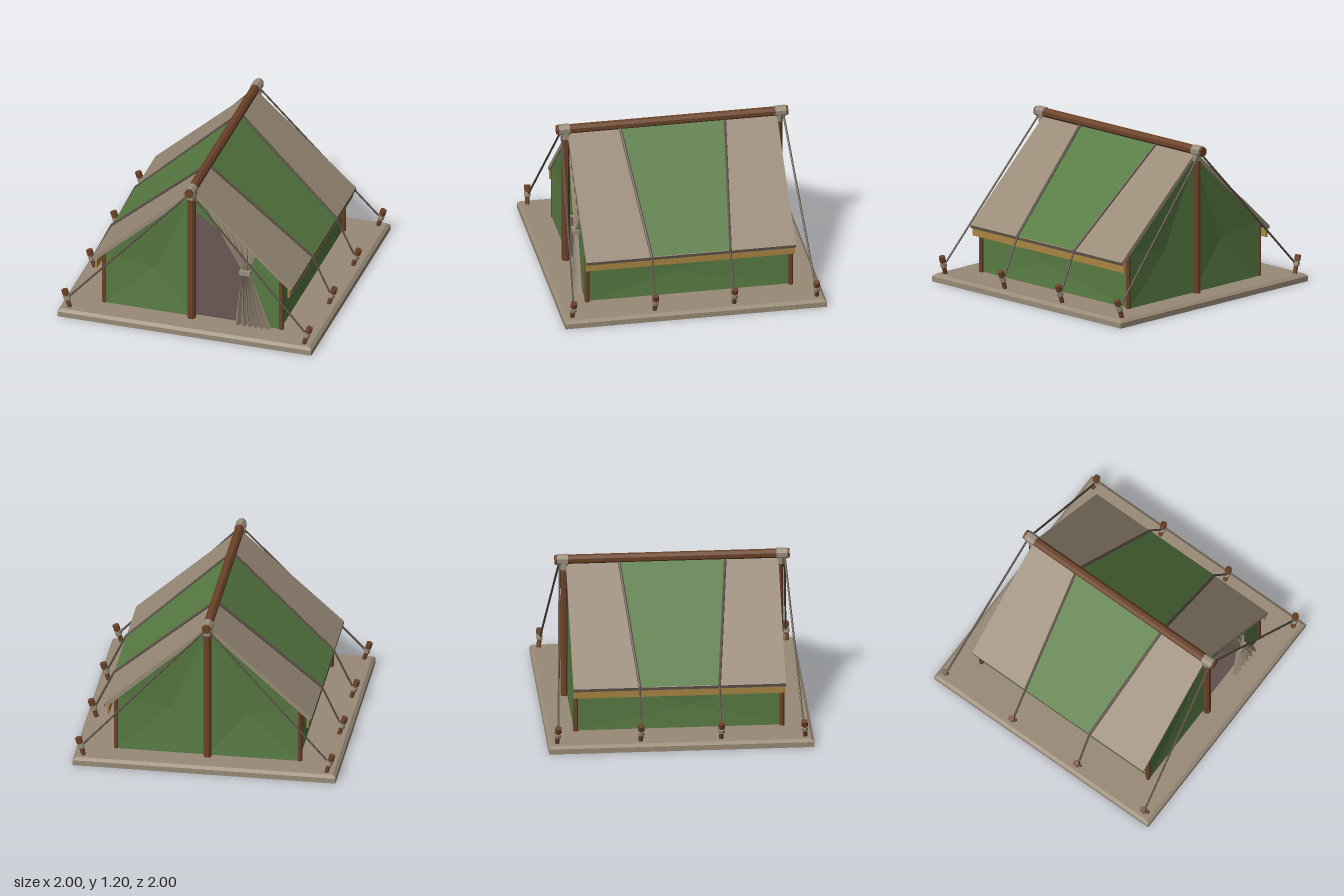
import * as THREE from 'three';

const mat = (name, color, side = THREE.FrontSide) =>
  Object.assign(new THREE.MeshStandardMaterial({ color, side }), { name });
const V = (x, y, z) => new THREE.Vector3(x, y, z);

export function createModel() {
  const model = new THREE.Group();
  model.name = 'tent';
  const tan = mat('tan canvas', 0x998a77, THREE.DoubleSide);
  const green = mat('green canvas', 0x587b43, THREE.DoubleSide);
  const wood = mat('brown wood', 0x6b4228);
  const gold = mat('gold valance', 0xa98643);
  const rope = mat('dark rope', 0x5a5046);
  const lash = mat('pale lashing', 0x9a8e7e);
  const rug = mat('dark floor cloth', 0x5e4f4c);

  // Adds a mesh with faceted normals
  function add(name, geometry, material) {
    const geo = geometry.index ? geometry.toNonIndexed() : geometry;
    geo.computeVertexNormals();
    const mesh = new THREE.Mesh(geo, material);
    mesh.name = name;
    model.add(mesh);
    return mesh;
  }
  // Straight rod between two points
  function rod(name, a, b, r, sides, material) {
    const geo = new THREE.CylinderGeometry(r, r, a.distanceTo(b), sides);
    geo.rotateY(Math.PI / sides);
    const mesh = add(name, geo, material);
    mesh.position.copy(a).add(b).multiplyScalar(0.5);
    mesh.quaternion.setFromUnitVectors(V(0, 1, 0), b.clone().sub(a).normalize());
    return mesh;
  }
  function box(name, w, h, d, x, y, z, material) {
    return add(name, new THREE.BoxGeometry(w, h, d).translate(x, y, z), material);
  }
  // Panel fanned around one slightly sagging centre point
  function fan(name, centre, points, material) {
    const tris = [];
    points.forEach((p, i) => tris.push(centre, p, points[(i + 1) % points.length]));
    return add(name, new THREE.BufferGeometry().setFromPoints(tris), material);
  }
  function quad(name, a, b, c, d, material) {
    return add(name, new THREE.BufferGeometry().setFromPoints([a, b, c, a, c, d]), material);
  }

  // Platform with a chamfered top edge
  box('platform', 2, 0.04, 2, 0, 0.02, 0, tan);
  const q = Math.SQRT2;
  add('platformTop', new THREE.CylinderGeometry(0.977 * q, q, 0.02, 4)
    .rotateY(Math.PI / 4).translate(0, 0.05, 0), tan);
  box('floorCloth', 1.3, 0.006, 1.52, 0, 0.063, 0, rug);

  // Roof slab, one chevron section run from front to back
  const section = new THREE.Shape([
    [0, 1.15], [0.79, 0.435], [0.77, 0.41], [0, 1.11], [-0.77, 0.41], [-0.79, 0.435],
  ].map(([x, y]) => new THREE.Vector2(x, y)));
  add('roof', new THREE.ExtrudeGeometry(section, { depth: 1.6, bevelEnabled: false })
    .translate(0, 0, -0.8), tan);

  for (const s of [1, -1]) {
    // Green roof panel, its lining and edge ropes
    quad('roofPanel', V(0, 1.155, 0.4), V(s * 0.79, 0.44, 0.3),
      V(s * 0.79, 0.44, -0.3), V(0, 1.155, -0.4), green);
    quad('roofLining', V(0, 1.106, 0.79), V(s * 0.765, 0.41, 0.79),
      V(s * 0.765, 0.41, -0.79), V(0, 1.106, -0.79), green);
    box('eaveTrim', 0.008, 0.022, 1.6, s * 0.784, 0.423, 0, rope);
    box('valance', 0.015, 0.065, 1.6, s * 0.758, 0.383, 0, gold);

    // Side wall
    fan('sideWall', V(s * 0.675, 0.24, 0.1), [V(s * 0.69, 0.06, 0.78),
      V(s * 0.69, 0.06, -0.78), V(s * 0.69, 0.48, -0.78), V(s * 0.69, 0.48, 0.78)], green);

    for (const f of [1, -1]) {
      rod('cornerPost', V(s * 0.697, 0.06, f * 0.778), V(s * 0.697, 0.485, f * 0.778), 0.019, 8, wood);
      rod('roofRope', V(s * 0.02, 1.145, f * 0.4), V(s * 0.793, 0.44, f * 0.3), 0.011, 6, rope);
      rod('sideRope', V(s * 0.793, 0.44, f * 0.3), V(s * 0.935, 0.14, f * 0.303), 0.008, 6, rope);
      rod('endRope', V(s * 0.02, 1.13, f * 0.85), V(s * 0.935, 0.14, f * 0.925), 0.008, 6, rope);
      // Leaning stakes with a lashing and a thicker head
      for (const z of [0.303, 0.935]) {
        const at = (t) => V(s * (0.922 + 0.045 * t), 0.06 + 0.14 * t, f * (z - (z > 0.5 ? 0.008 * t : 0)));
        rod('stake', at(0), at(0.95), 0.018, 8, wood);
        rod('stakeHead', at(0.7), at(1), 0.025, 8, wood);
        rod('stakeLashing', at(0.42), at(0.64), 0.026, 8, lash);
      }
    }

    // Gable halves: two at the back, one solid at the front
    for (const f of s > 0 ? [-1] : [1, -1]) {
      fan('gableWall', V(s * 0.3, 0.42, f * 0.765), [V(0, 0.06, f * 0.79),
        V(s * 0.69, 0.06, f * 0.79), V(s * 0.69, 0.49, f * 0.79), V(0, 1.12, f * 0.79)], green);
    }
  }

  // Front gable half with the door opening
  const doorWall = new THREE.Shape([
    [0, 1.12], [0, 0.98], [0.14, 1.0], [0.43, 0.52], [0.42, 0.06], [0.69, 0.06], [0.69, 0.49],
  ].map(([x, y]) => new THREE.Vector2(x, y)));
  add('doorWall', new THREE.ShapeGeometry(doorWall).translate(0, 0, 0.785), green);

  // Pleated door curtain gathered at the waist: [x, y] of both ends, pleat depth
  const rows = [
    [[0.1, 1.035], [0.5, 0.665], 0.012],
    [[0.395, 0.54], [0.455, 0.54], 0.025],
    [[0.395, 0.51], [0.455, 0.51], 0.025],
    [[0.34, 0.062], [0.62, 0.062], 0.035],
  ];
  const pleats = 12;
  const point = ([a, b, depth], i) => V(
    THREE.MathUtils.lerp(a[0], b[0], i / pleats),
    THREE.MathUtils.lerp(a[1], b[1], i / pleats),
    0.8 + (i % 2) * depth);
  const tris = [];
  for (let r = 0; r < rows.length - 1; r++) {
    for (let i = 0; i < pleats; i++) {
      const a = point(rows[r], i), b = point(rows[r], i + 1);
      const c = point(rows[r + 1], i), d = point(rows[r + 1], i + 1);
      tris.push(a, c, b, b, c, d);
    }
  }
  add('doorCurtain', new THREE.BufferGeometry().setFromPoints(tris), tan);
  box('curtainTie', 0.085, 0.035, 0.05, 0.425, 0.525, 0.818, lash);

  // Ridge pole, end posts and their lashings
  rod('ridgePole', V(0, 1.165, -0.885), V(0, 1.165, 0.885), 0.036, 8, wood);
  for (const f of [1, -1]) {
    rod('endPost', V(0, 0.06, f * 0.812), V(0, 1.15, f * 0.812), 0.031, 8, wood);
    rod('ridgeLashing', V(0, 1.165, f * 0.785), V(0, 1.165, f * 0.868), 0.042, 8, lash);
    rod('postLashing', V(0, 1.09, f * 0.812), V(0, 1.15, f * 0.812), 0.038, 8, lash);
  }
  return model;
}
